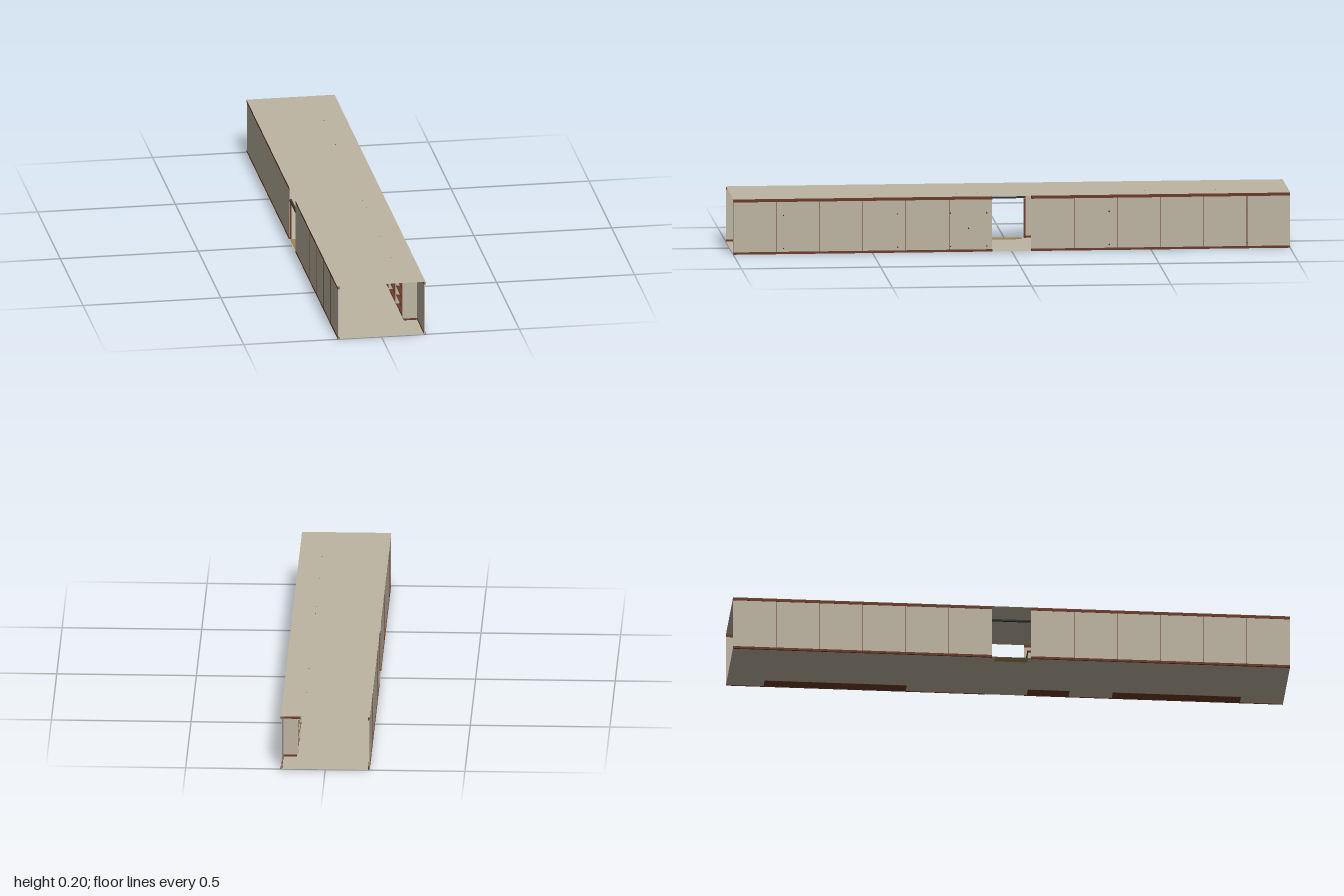
import * as THREE from 'three';

const mat = (name, color, extra = {}) => {
  const m = new THREE.MeshStandardMaterial({ color, ...extra });
  m.name = name;
  return m;
};

export function createModel() {
  const plaster = mat('plaster', 0xbdb5a2);
  const sheet = mat('plasterSheet', 0xbdb5a2, { side: THREE.DoubleSide });
  const wood = mat('brownWood', 0x6b3a28);
  const metal = mat('darkMetal', 0x33332f);
  const matting = mat('goldMat', 0xa08550);
  const model = new THREE.Group();
  model.name = 'corridor';

  // Box given by its limits on each axis
  const box = (name, material, [x0, x1], [y0, y1], [z0, z1], parent = model) => {
    const mesh = new THREE.Mesh(new THREE.BoxGeometry(x1 - x0, y1 - y0, z1 - z0), material);
    mesh.position.set((x0 + x1) / 2, (y0 + y1) / 2, (z0 + z1) / 2);
    mesh.name = name;
    parent.add(mesh);
    return mesh;
  };

  // Floor and roof sheets
  for (const [name, y] of [['floor', 0.001], ['roof', 0.2]]) {
    const plane = new THREE.Mesh(new THREE.PlaneGeometry(0.32, 2), sheet);
    plane.rotation.x = -Math.PI / 2;
    plane.position.y = y;
    plane.name = name;
    model.add(plane);
  }

  // Panelled walls with a doorway in the middle of each side
  const gap = 0.07, panel = 0.155;
  const sides = [
    { name: 'leftWall', wall: [0.155, 0.157], trim: [0.1545, 0.16] },
    { name: 'rightWall', wall: [-0.158, -0.156], trim: [-0.159, -0.153] },
  ];
  for (const s of sides) {
    for (const dir of [1, -1]) {
      const span = dir > 0 ? [gap, 1] : [-1, -gap];
      const group = new THREE.Group();
      group.name = s.name;
      model.add(group);
      box('wallPanels', plaster, s.wall, [0.001, 0.199], span, group);
      box('topTrim', wood, s.trim, [0.189, 0.1995], span, group);
      box('baseTrim', wood, s.trim, [0, 0.008], span, group);
      for (let i = 1; i < 6; i++) {
        const z = dir * (gap + i * panel);
        box('panelSeam', wood, [s.wall[0] - 0.0004, s.wall[1] + 0.0004],
          [0.008, 0.189], [z - 0.001, z + 0.001], group);
      }
    }
  }

  // Door frame and mat on the right side
  for (const dir of [1, -1]) {
    const z = dir * (gap + 0.003);
    box('doorPost', wood, [-0.157, -0.15], [0, 0.142], [z - 0.003, z + 0.003]);
  }
  box('doorLintel', metal, [-0.157, -0.149], [0.145, 0.151], [-0.076, 0.076]);
  box('doorMat', matting, [-0.155, -0.12], [0.001, 0.003], [-0.06, 0.06]);

  // Rounded hanging lamp with two rods
  const lamp = (z0, z1) => {
    const group = new THREE.Group();
    group.name = 'hangingLamp';
    const r = 0.003, w = 0.0145, length = (z1 - z0) * 0.8;
    const shape = new THREE.Shape();
    shape.absarc(w, 0, r, -Math.PI / 2, Math.PI / 2);
    shape.absarc(-w, 0, r, Math.PI / 2, Math.PI * 1.5);
    const bar = new THREE.Mesh(
      new THREE.ExtrudeGeometry(shape, { depth: length, bevelEnabled: false, curveSegments: 6 }), plaster);
    bar.name = 'lampBar';
    bar.position.set(0.078, 0.174, (z0 + z1 - length) / 2);
    group.add(bar);
    for (const t of [0.25, 0.75]) {
      const rod = new THREE.Mesh(new THREE.CylinderGeometry(0.0012, 0.0012, 0.025, 8), metal);
      rod.name = 'lampRod';
      rod.position.set(0.078, 0.1885, z0 + (z1 - z0) * t);
      group.add(rod);
    }
    model.add(group);
  };

  // Cabinet base, ends and top shared by all units
  const unit = (name, z0, z1) => {
    const group = new THREE.Group();
    group.name = name;
    model.add(group);
    box('plinth', wood, [0.107, 0.154], [0, 0.008], [z0, z1], group);
    box('top', wood, [0.096, 0.1545], [0.145, 0.149], [z0 - 0.003, z1 + 0.003], group);
    lamp(z0, z1);
    return group;
  };

  // Long open shelving units
  for (const [z0, z1] of [[0.385, 0.845], [-0.865, -0.355]]) {
    const group = unit('shelving', z0, z1);
    const bays = 3, t = 0.005;
    for (let i = 0; i <= bays; i++) {
      const z = z0 + ((z1 - z0 - t) * i) / bays;
      box('upright', plaster, [0.101, 0.154], [0.008, 0.145], [z, z + t], group);
    }
    for (const y of [0.008, 0.042, 0.076, 0.11])
      box('shelf', wood, [0.104, 0.154], [y, y + 0.004], [z0 + t, z1 - t], group);
  }

  // Small closed cabinet beside the doorway
  const cabinet = unit('cabinet', 0.08, 0.23);
  box('cabinetBody', plaster, [0.101, 0.154], [0.008, 0.145], [0.08, 0.23], cabinet);
  box('doorSeam', metal, [0.1005, 0.102], [0.012, 0.142], [0.1545, 0.1555], cabinet);
  for (const z of [0.145, 0.165])
    box('handle', plaster, [0.094, 0.101], [0.045, 0.049], [z - 0.003, z + 0.003], cabinet);

  // Fixing bolts through the left wall
  const bolts = [
    [0.14, 0.82], [0.02, 0.82], [0.14, 0.41], [0.02, 0.41], [0.14, 0.22], [0.02, 0.22],
    [0.14, 0.09], [0.02, 0.09], [0.085, 0.155], [0.14, -0.35], [0.02, -0.35], [0.14, -0.845], [0.02, -0.845],
  ];
  for (const [y, z] of bolts) {
    const bolt = new THREE.Mesh(new THREE.CylinderGeometry(0.0025, 0.0025, 0.005, 8), metal);
    bolt.rotation.z = Math.PI / 2;
    bolt.position.set(0.157, y, z);
    bolt.name = 'wallBolt';
    model.add(bolt);
  }
  return model;
}
